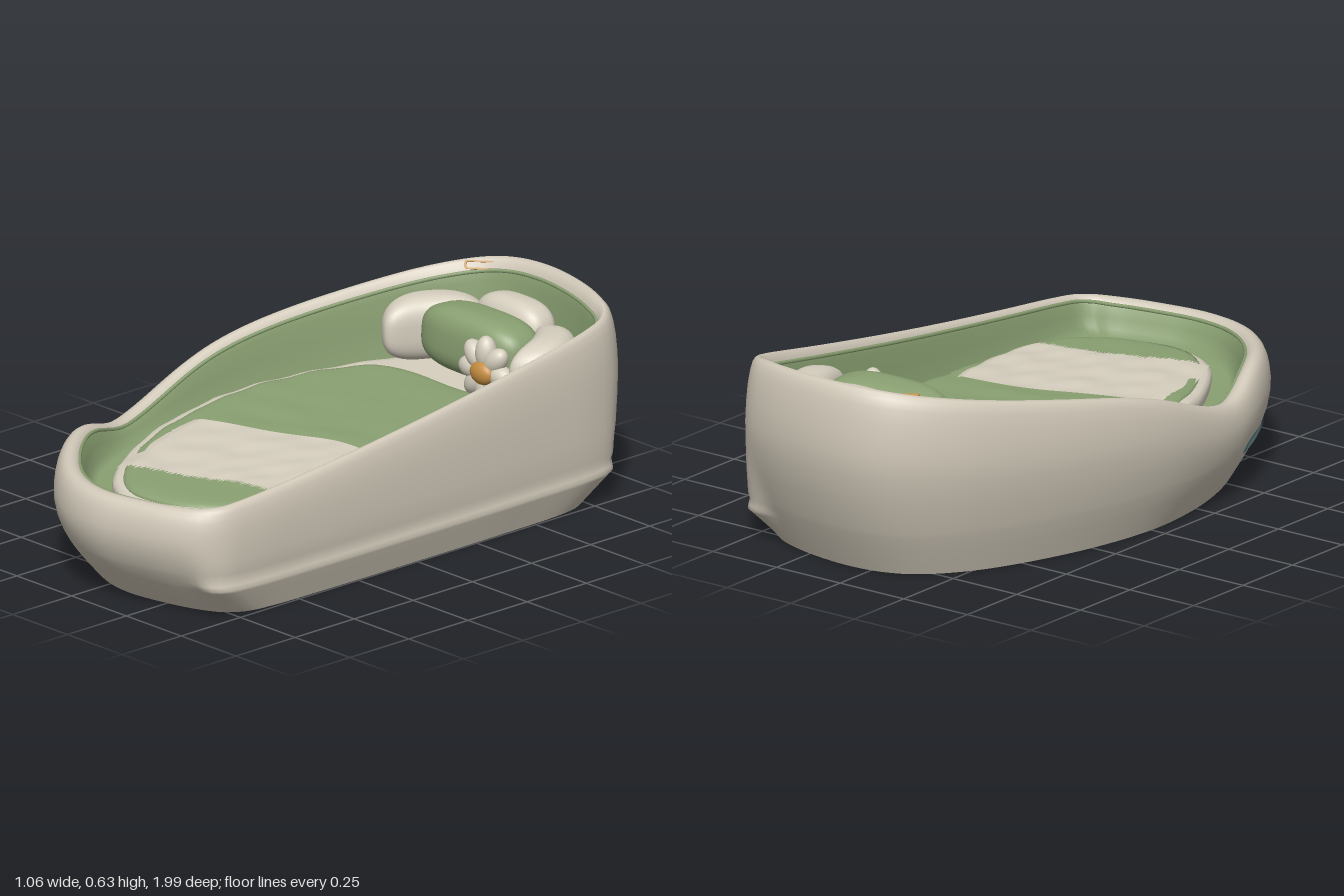
import * as THREE from 'three';

const material = (name, color, side = THREE.FrontSide) => {
  const m = new THREE.MeshStandardMaterial({ color, side });
  m.name = name;
  return m;
};
const shellMat = material('warm beige', 0xd1c9b9);
const greenMat = material('sage green', 0x8aa072, THREE.DoubleSide);
const creamMat = material('cream fabric', 0xd6cfbf, THREE.DoubleSide);
const amberMat = material('amber', 0xc48d40);
const tealMat = material('dusty teal', 0x84abb0);
const darkTealMat = material('mid teal', 0x668c93);

const V = (x, y, z) => new THREE.Vector3(x, y, z);
const { lerp, smoothstep, clamp } = THREE.MathUtils;
const closedCurve = pts => {
  const c = new THREE.CatmullRomCurve3(pts.map(([x, z]) => V(x, 0, z)), true, 'centripetal');
  c.arcLengthDivisions = 800;
  return c;
};

// Skin a list of point rows; columns then rows run counter-clockwise seen from outside
function loft(rows, closed = true) {
  const n = rows[0].length, index = [];
  const cols = closed ? n : n - 1;
  for (let r = 0; r < rows.length - 1; r++) {
    for (let j = 0; j < cols; j++) {
      const k = (j + 1) % n, a = r * n + j, b = r * n + k, c = a + n, d = b + n;
      index.push(a, b, c, b, d, c);
    }
  }
  const g = new THREE.BufferGeometry().setFromPoints(rows.flat());
  g.setIndex(index);
  g.computeVertexNormals();
  return g;
}

// D-shaped plan of the body: straight on +x, bowed on -x
const plan = closedCurve([
  [0.518, -0.75], [0.495, -0.84], [0.44, -0.905], [0.34, -0.953], [0.2, -0.988], [0.06, -1], [-0.07, -0.982],
  [-0.18, -0.925], [-0.31, -0.77], [-0.445, -0.45], [-0.52, -0.12], [-0.53, 0.12], [-0.475, 0.44],
  [-0.36, 0.71], [-0.2, 0.89], [-0.06, 0.972], [0.08, 0.998], [0.22, 0.98], [0.36, 0.942], [0.455, 0.89],
  [0.503, 0.82], [0.52, 0.72], [0.528, 0.45], [0.53, 0], [0.528, -0.45],
]);

// Plan point, outward normal, rim width and rim height (sloping, with an entry dip on the bowed side)
function station(u) {
  const p = plan.getPointAt(u), t = plan.getTangentAt(u);
  const n = V(-t.z, 0, t.x).normalize();
  const z = p.z * 0.96;
  const spread = p.z > 0.38 ? 0.2 : 0.35;
  const dip = 0.098 * Math.exp(-(((p.z - 0.38) / spread) ** 2)) * (1 - smoothstep(p.x, -0.46, -0.25));
  const rim = 1 + 0.22 * n.z ** 2 - 0.25 * Math.max(0, n.x) ** 2;
  return { p, n, rim, h: 0.464 - 0.146 * z + 0.033 * z * z - dip };
}
const basePoint = p => V(0.025 + p.x * 0.887, 0, p.z * 0.85);

// Point on the wall at height y, moved inwards by inset
function wall(s, y, inset = 0) {
  const flat = smoothstep(s.n.x, 0.35, 1);
  const bulge = Math.sin(Math.min(1, y / s.h / 0.72) * Math.PI / 2);
  const f = lerp(bulge, Math.min(1, y / 0.1), flat);
  const groove = flat * 0.009 * Math.exp(-(((y - 0.135) / 0.02) ** 2));
  const q = basePoint(s.p).lerp(s.p, f).addScaledVector(s.n, -inset - groove);
  q.y = y;
  return q;
}

// Puffy cushion: a sphere squared off by a power rule, optionally bent sideways into a crescent
function pillow(name, mat, pos, size, rotY = 0, rotX = 0, power = 0.7, bend = 0) {
  const g = new THREE.SphereGeometry(1, 40, 28);
  const a = g.attributes.position;
  const sq = v => Math.sign(v) * Math.abs(v) ** power;
  for (let i = 0; i < a.count; i++) a.setXYZ(i, sq(a.getX(i)), sq(a.getY(i)), sq(a.getZ(i)));
  g.scale(...size);
  for (let i = 0; i < a.count; i++) a.setX(i, a.getX(i) + bend * (0.5 - (a.getZ(i) / size[2]) ** 2));
  g.computeVertexNormals();
  const m = new THREE.Mesh(g, mat);
  m.name = name;
  m.position.set(...pos);
  m.rotation.set(rotX, rotY, 0, 'YXZ');
  return m;
}

const bedTop = (x, z) => 0.32 - 0.035 * z + 0.003 * Math.sin(z * 34 + Math.sin(x * 9)) * Math.sin(x * 11 + z * 5);

// Soft slab: side wall, rounded edge, then a gently rippled top
function slab(outline, bottom, lift) {
  const pts = outline.getSpacedPoints(96).slice(0, 96);
  const c = V(0.03, 0, 0.05);
  const rows = [[0.01, null], [0, -0.028], [0.008, -0.012], [0.03, -0.003], [0.07, 0], [0.16, 0], [0.26, 0],
    [0.36, 0], [0.46, 0], [0.56, 0], [0.66, 0], [0.76, 0], [0.86, 0], [0.94, 0], [1, 0]];
  return loft(rows.map(([s, dy]) => pts.map(p => {
    const q = p.clone().lerp(c, s);
    q.y = dy === null ? bottom : bedTop(q.x, q.z) + dy + lift;
    return q;
  })));
}

export function createModel() {
  const group = new THREE.Group();
  const add = (name, geo, mat, parent = group) => {
    const m = new THREE.Mesh(geo, mat);
    m.name = name;
    parent.add(m);
    return m;
  };
  const N = 160;
  const stations = Array.from({ length: N }, (_, j) => station(j / N));
  const ring = fn => stations.map(fn);

  // Outer shell with rolled rim
  const rows = [0, 0.03, 0.06, 0.09, 0.1, 0.115, 0.135, 0.155].map(y => ring(s => wall(s, y)));
  const upper = [[0.2, 0], [0.4, 0], [0.55, 0.001], [0.68, 0.004], [0.8, 0.009], [0.9, 0.017], [0.96, 0.026],
    [0.99, 0.036], [1, 0.046], [0.987, 0.057], [0.95, 0.067], [0.91, 0.072]];
  for (const [k, inset] of upper) rows.push(ring(s => wall(s, lerp(0.155, s.h, k), inset * s.rim)));
  add('shell', loft(rows), shellMat);

  // Hollow underside: foot edge, inner skirt and raised floor
  const skirt = [0.2, 0.15, 0.1, 0.05, 0].map(y => ring(s => wall(s, y, 0.012)));
  add('underFloor', loft([ring(() => V(0.05, 0.2, 0)), skirt[0]]), shellMat);
  add('innerSkirt', loft(skirt), shellMat);
  add('footEdge', loft([skirt[4], rows[0]]), shellMat);

  // Padded liner down to the gutter floor
  const top = s => lerp(0.155, s.h, 0.92);
  const liner = [[0, 0.071], [0.1, 0.079], [0.4, 0.088], [0.75, 0.1], [1, 0.118]].map(([k, inset]) =>
    ring(s => {
      const q = s.p.clone().addScaledVector(s.n, -inset * s.rim);
      q.y = lerp(top(s), 0.25, k);
      return q;
    }));
  liner.push(ring(() => V(0.05, 0.245, 0)));
  add('liner', loft(liner), greenMat);
  const pipe = new THREE.CatmullRomCurve3(ring(s => {
    const q = s.p.clone().addScaledVector(s.n, -0.073 * s.rim);
    q.y = top(s);
    return q;
  }), true);
  add('linerPiping', new THREE.TubeGeometry(pipe, 200, 0.006, 6, true), greenMat);

  // Mattress and blanket
  const front = [[-0.24, 0.555], [-0.1, 0.735], [0.06, 0.795], [0.25, 0.76], [0.38, 0.655], [0.43, 0.48], [0.43, 0]];
  const mattress = closedCurve([[0.41, -0.6], [0.33, -0.77], [0.06, -0.84], [-0.16, -0.74], [-0.32, -0.45],
    [-0.405, -0.1], [-0.395, 0.1], [-0.34, 0.34], ...front]);
  add('mattress', slab(mattress, 0.24, -0.004), creamMat);
  const blanket = closedCurve([[0.4, -0.5], [0.34, -0.545], [0.1, -0.545], [-0.16, -0.53], [-0.265, -0.46],
    [-0.335, -0.3], [-0.375, -0.08], [-0.362, 0.1], [-0.308, 0.34],
    ...front.map(([x, z]) => [x - 0.018 * Math.sign(x), z - 0.022])]);
  add('blanket', slab(blanket, 0.29, 0.006), greenMat);

  // Folded throw with a frayed front edge
  const curve = pts => new THREE.CatmullRomCurve3(pts.map(([x, z]) => V(x, 0, z)));
  const backEdge = curve([[-0.3, 0.23], [-0.05, 0.15], [0.18, 0.06], [0.37, 0.045]]);
  const frontEdge = curve([[-0.16, 0.65], [0.08, 0.565], [0.24, 0.5], [0.405, 0.475]]);
  const throwRows = [];
  for (let r = 0; r <= 16; r++) {
    const v = 1 - r / 16, row = [];
    for (let j = 0; j <= 100; j++) {
      const u = j / 100;
      const q = backEdge.getPoint(u).lerp(frontEdge.getPoint(u), v);
      q.x += (u < 0.5 ? -1 : 1) * 0.02 * Math.sin(v * Math.PI) * Math.abs(2 * u - 1);
      if (r === 0) q.z += j % 2 ? 0.018 + 0.006 * Math.sin(j * 2.3) : -0.004;
      q.y = bedTop(q.x, q.z) + 0.013 + 0.002 * Math.sin(u * 28) * Math.sin(v * 16)
        - 0.012 * clamp((Math.abs(u - 0.5) - 0.44) / 0.06, 0, 1);
      row.push(q);
    }
    throwRows.push(row);
  }
  add('throw', loft(throwRows, false), creamMat);

  // Pillows against the head end
  group.add(
    pillow('leftEndPillow', creamMat, [0.325, 0.435, -0.69], [0.078, 0.105, 0.165], 0.55, 0, 0.7, 0.06),
    pillow('rightEndPillow', creamMat, [-0.155, 0.435, -0.68], [0.076, 0.105, 0.17], -0.6, 0, 0.7, -0.05),
    pillow('backPillow', creamMat, [0.08, 0.465, -0.8], [0.15, 0.105, 0.072], 0, -0.1),
    pillow('bolster', greenMat, [0.08, 0.453, -0.655], [0.222, 0.105, 0.1], 0, -0.08, 0.66),
  );

  // Flower cushion
  const flower = new THREE.Group();
  flower.name = 'flowerCushion';
  flower.position.set(0.225, 0.422, -0.545);
  for (let i = 0; i < 8; i++) {
    const a = i / 8 * Math.PI * 2;
    const petal = add('petal', new THREE.SphereGeometry(1, 20, 16), creamMat, flower);
    petal.scale.set(0.036, 0.056, 0.034);
    petal.position.set(-Math.sin(a) * 0.06, Math.cos(a) * 0.06, 0);
    petal.rotation.z = a;
  }
  const heart = add('flowerCentre', new THREE.SphereGeometry(1, 24, 16), amberMat, flower);
  heart.scale.set(0.049, 0.037, 0.026);
  heart.position.set(0.01, 0.003, 0.027);
  group.add(flower);

  // Rounded display panel following the front wall
  function panel(name, x0, x1, halfY, lift, mat) {
    const grid = [[], [], [], [], []];
    const start = stations.findIndex(s => s.p.z > 0.1 && s.p.x < -0.4) / N;
    for (let i = 0; i <= 32; i++) {
      const x = lerp(x0, x1, i / 32);
      const end = clamp(1 - Math.min(x - x0, x1 - x) / 0.02, 0, 1);
      const half = halfY * lerp(0.4, 1, Math.sqrt(1 - end * end));
      for (let k = 0; k < 5; k++) {
        const y = 0.149 + half * (k / 2 - 1);
        // search along the wall for the wanted x
        let lo = start, hi = start + 0.25;
        for (let n = 0; n < 24; n++) {
          const mid = (lo + hi) / 2;
          if (wall(station(mid), y).x < x) lo = mid; else hi = mid;
        }
        grid[k].push(wall(station(lo), y, -lift));
      }
    }
    add(name, loft(grid, false), mat);
  }
  panel('panelFrame', -0.452, -0.158, 0.025, 0.003, darkTealMat);
  panel('panelFace', -0.444, -0.166, 0.018, 0.006, tealMat);

  // Amber badge frame on the inside of the head rim
  const pill = (S, w, h) => {
    const s = new S(), r = h * 0.7, c = w - r;
    s.moveTo(-c, -h).lineTo(c, -h).quadraticCurveTo(w, -h, w, 0).quadraticCurveTo(w, h, c, h);
    s.lineTo(-c, h).quadraticCurveTo(-w, h, -w, 0).quadraticCurveTo(-w, -h, -c, -h);
    return s;
  };
  const frame = pill(THREE.Shape, 0.053, 0.014);
  frame.holes.push(pill(THREE.Path, 0.047, 0.009));
  const badge = add('rimBadge', new THREE.ExtrudeGeometry(frame, { depth: 0.009, bevelEnabled: false }), amberMat);
  const seat = s => s.p.clone().addScaledVector(s.n, -0.063 * s.rim).setY(s.h - 0.022);
  const spot = stations.filter(s => s.p.z < -0.7)
    .reduce((a, b) => Math.abs(seat(b).x + 0.135) < Math.abs(seat(a).x + 0.135) ? b : a);
  badge.position.copy(seat(spot));
  badge.rotation.set(-0.45, Math.atan2(-spot.n.x, -spot.n.z), 0, 'YXZ');

  return group;
}
